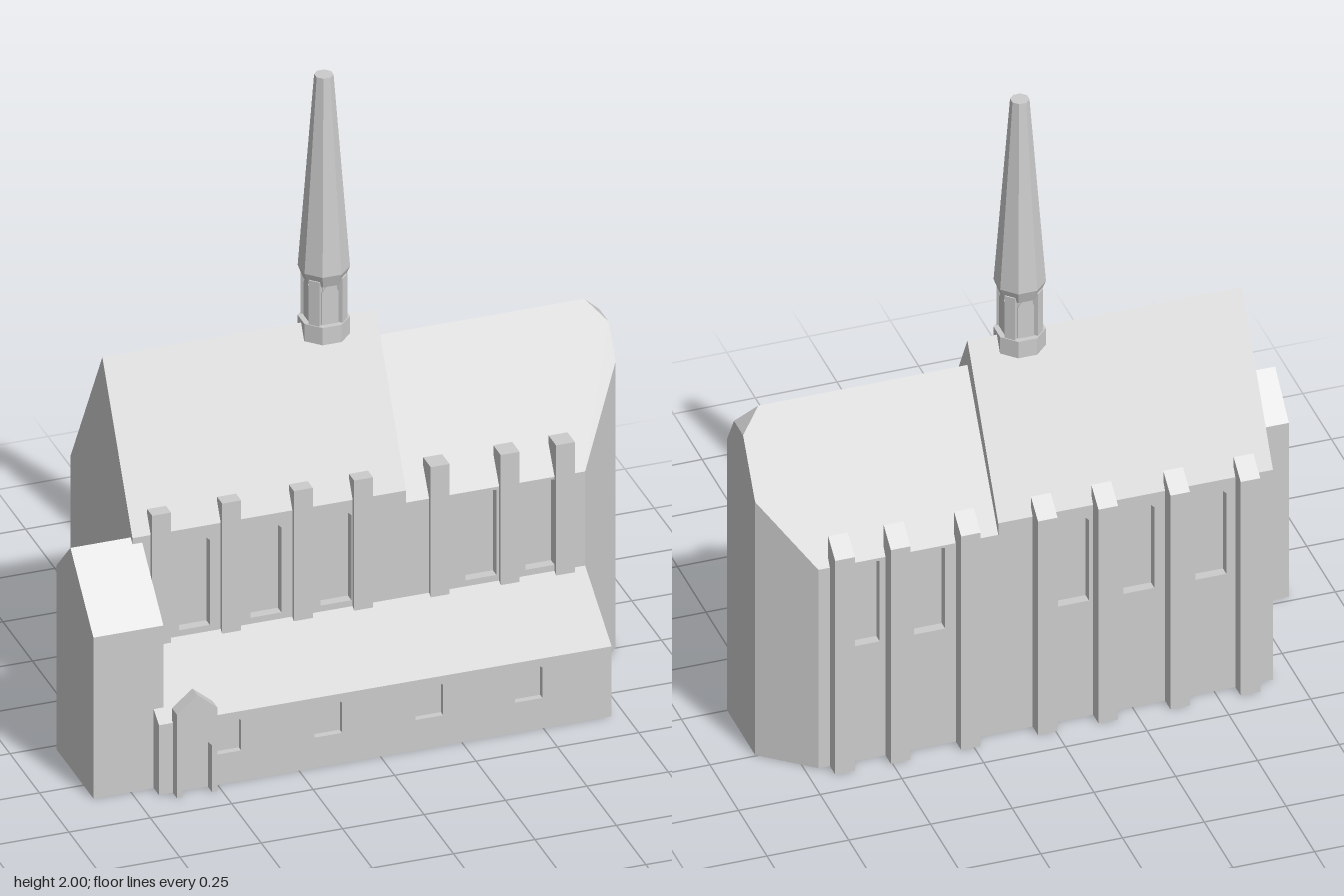
import * as THREE from 'three';
import { ConvexGeometry } from 'three/addons/geometries/ConvexGeometry.js';

const FRONT = 0.155, BACK = -0.37, RIDGE = -0.1, RECESS = 0.03;
const stone = new THREE.MeshStandardMaterial({ color: 0xcccccc });
stone.name = 'pale stone';

export function createModel() {
  const model = new THREE.Group();
  model.name = 'church';

  function add(name, geometry, x = 0, y = 0, z = 0, parent = model) {
    const mesh = new THREE.Mesh(geometry, stone);
    mesh.name = name;
    mesh.position.set(x, y, z);
    parent.add(mesh);
    return mesh;
  }

  // Solid hull around a list of [x, y, z] corners
  const hull = (pts) => new ConvexGeometry(pts.map((p) => new THREE.Vector3(...p)));

  // Solid with a constant [z, y] cross-section running along x
  const prism = (x0, x1, section) =>
    hull(section.flatMap(([z, y]) => [[x0, y, z], [x1, y, z]]));

  // Pointed outline: straight sides with a gable on top
  function gable(Type, x, w, y0, shoulder, apex) {
    const s = new Type();
    s.moveTo(x - w / 2, y0);
    s.lineTo(x + w / 2, y0);
    s.lineTo(x + w / 2, shoulder);
    s.lineTo(x, apex);
    s.lineTo(x - w / 2, shoulder);
    s.closePath();
    return s;
  }

  // Wall skin with pointed openings, its top cut to the pitch of the roof
  function wallPanel(x0, x1, eave, slope, depth, holes) {
    const top = eave + slope * depth;
    const s = new THREE.Shape();
    s.moveTo(x0, 0);
    s.lineTo(x1, 0);
    s.lineTo(x1, top);
    s.lineTo(x0, top);
    s.closePath();
    s.holes = holes;
    const g = new THREE.ExtrudeGeometry(s, { depth, bevelEnabled: false });
    const p = g.attributes.position;
    for (let i = 0; i < p.count; i++) {
      p.setY(i, Math.min(p.getY(i), eave + slope * (depth - p.getZ(i))));
    }
    g.computeVertexNormals();
    return g;
  }

  // Nave and choir: an inner core with a windowed skin on both long sides
  const halls = [
    { name: 'nave', x0: -0.68, x1: 0.16, eave: 0.73, ridge: 1.195, front: [-0.49, -0.27, -0.055], back: [-0.49, -0.27, -0.07] },
    { name: 'choir', x0: 0.16, x1: 0.71, eave: 0.69, ridge: 1.11, front: [0.39, 0.575], back: [0.37, 0.57] },
  ];
  const window = (x) => gable(THREE.Path, x, 0.095, 0.4, 0.68, 0.727);
  for (const h of halls) {
    const slopeF = (h.ridge - h.eave) / (FRONT - RIDGE);
    const slopeB = (h.ridge - h.eave) / (RIDGE - BACK);
    add(h.name + 'Core', prism(h.x0, h.x1, [
      [FRONT - RECESS, 0], [FRONT - RECESS, h.eave + slopeF * RECESS], [RIDGE, h.ridge],
      [BACK + RECESS, h.eave + slopeB * RECESS], [BACK + RECESS, 0],
    ]));
    add(h.name + 'FrontWall', wallPanel(h.x0, h.x1, h.eave, slopeF, RECESS, h.front.map(window)), 0, 0, FRONT - RECESS);
    add(h.name + 'BackWall', wallPanel(-h.x1, -h.x0, h.eave, slopeB, RECESS, h.back.map((x) => window(-x))),
      0, 0, BACK + RECESS).rotation.y = Math.PI;
  }

  // Apse with canted corners and a small hip at the ridge end
  add('apse', hull([
    [0.71, 0, FRONT], [0.71, 0, BACK], [0.86, 0, 0], [0.86, 0, -0.245],
    [0.71, 0.69, FRONT], [0.71, 0.69, BACK], [0.86, 0.945, 0], [0.86, 0.88, -0.245],
    [0.71, 1.11, RIDGE], [0.8, 1.11, RIDGE], [0.86, 1.045, -0.06], [0.86, 1.045, -0.14],
  ]));

  // Low side aisle with lean-to roof and small windows
  const aisleSlope = 0.15 / 0.225;
  add('aisleCore', prism(-0.68, 0.71, [[0.1, 0], [0.1, 0.38], [FRONT, 0.38], [0.36, 0.23 + 0.02 * aisleSlope], [0.36, 0]]));
  add('aisleWall', wallPanel(-0.68, 0.71, 0.23, aisleSlope, 0.02,
    [-0.47, -0.16, 0.15, 0.455].map((x) => gable(THREE.Path, x, 0.085, 0.1, 0.2, 0.24))), 0, 0, 0.36);

  // Side tower with a pitched roof
  add('sideTower', prism(-0.865, -0.65, [[0.02, 0], [0.02, 0.605], [0.14, 0.725], [0.335, 0.53], [0.335, 0]]));

  // Gabled portal with an open doorway
  const portal = new THREE.Shape();
  [[-0.0625, 0], [-0.045, 0], [-0.045, 0.155], [0, 0.2], [0.045, 0.155], [0.045, 0],
    [0.0625, 0], [0.0625, 0.275], [0, 0.328], [-0.0625, 0.275]]
    .forEach(([x, y], i) => (i ? portal.lineTo(x, y) : portal.moveTo(x, y)));
  add('portal', new THREE.ExtrudeGeometry(portal, { depth: 0.042, bevelEnabled: false }), -0.575, 0, 0.373);

  // Buttresses: flat-topped in front, sloped and full height behind
  [-0.595, -0.38, -0.16, 0.025, 0.26, 0.475, 0.645].forEach((x, i) => {
    const inner = i < 4 ? 0.125 : 0.105;
    add('frontButtress', new THREE.BoxGeometry(0.058, 0.43, 0.168 - inner), x, 0.585, (0.168 + inner) / 2);
    add('backButtress', prism(x - 0.03, x + 0.03,
      [[-0.355, 0], [-0.355, 0.79], [-0.417, 0.743], [-0.417, 0]]));
  });

  // Octagonal spire standing on the ridge
  const spire = new THREE.Group();
  spire.name = 'spire';
  spire.position.z = RIDGE;
  model.add(spire);
  function octagon(name, y0, y1, r0, r1) {
    const k = 1 / Math.cos(Math.PI / 8);
    const g = new THREE.CylinderGeometry(r1 * k, r0 * k, y1 - y0, 8, 1, false, Math.PI / 8).toNonIndexed();
    g.computeVertexNormals();
    add(name, g, 0, (y0 + y1) / 2, 0, spire);
  }
  octagon('spireBase', 1.148, 1.205, 0.07, 0.07);
  octagon('belfryCore', 1.205, 1.34, 0.05, 0.05);
  octagon('spireFlare', 1.33, 1.37, 0.056, 0.07);
  octagon('spireTop', 1.37, 2, 0.07, 0.026);
  for (let i = 0; i < 4; i++) {
    const a = (i * Math.PI) / 2;
    const opening = new THREE.ExtrudeGeometry(gable(THREE.Shape, 0, 0.05, 1.205, 1.31, 1.35), { depth: 0.006, bevelEnabled: false });
    add('belfryOpening', opening.translate(0, 0, 0.048).rotateY(a), 0, 0, 0, spire);
    const pier = new THREE.BoxGeometry(0.034, 0.15, 0.03).translate(0, 1.275, 0.052);
    add('belfryPier', pier.rotateY(a + Math.PI / 4), 0, 0, 0, spire);
  }

  return model;
}
